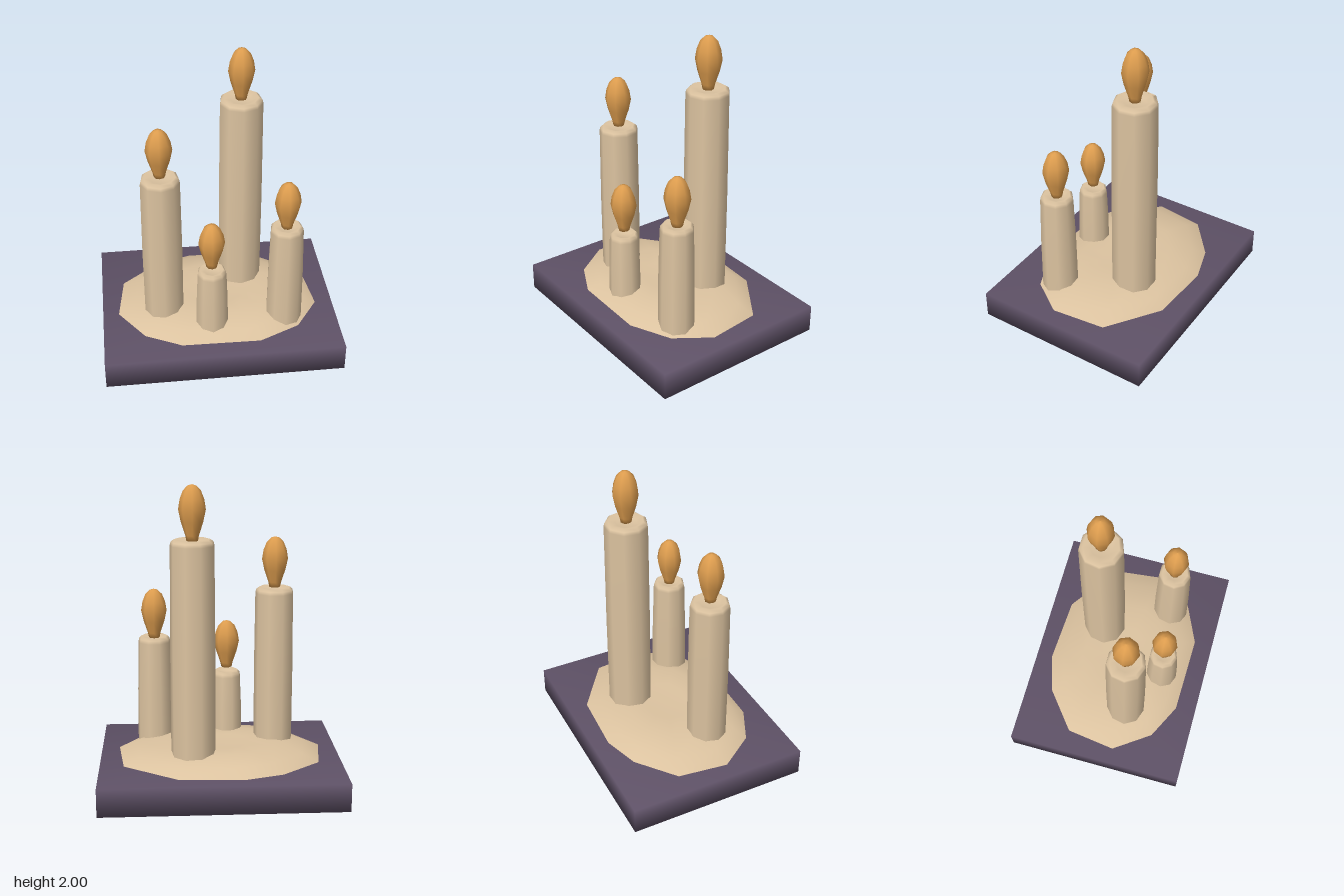
import * as THREE from 'three';
import { mergeVertices } from 'three/addons/utils/BufferGeometryUtils.js';

const wax = new THREE.MeshStandardMaterial({ color: 0xdcc3a0 });
wax.name = 'wax';
const flameOrange = new THREE.MeshStandardMaterial({ color: 0xdc9c4e });
flameOrange.name = 'flameOrange';
const trayPurple = new THREE.MeshStandardMaterial({ color: 0x5e5166 });
trayPurple.name = 'trayPurple';

function addMesh(parent, name, geometry, material) {
  const mesh = new THREE.Mesh(geometry, material);
  mesh.name = name;
  parent.add(mesh);
  return mesh;
}

function lathe(points, sides) {
  return new THREE.LatheGeometry(points.map(([r, y]) => new THREE.Vector2(r, y)), sides);
}

// Slab with soft shading across its edges
function trayGeometry() {
  const box = new THREE.BoxGeometry(1.585, 0.185, 1.22);
  box.translate(0, 0.0925, 0);
  box.deleteAttribute('normal');
  box.deleteAttribute('uv');
  const geometry = mergeVertices(box);
  geometry.computeVertexNormals();
  return geometry;
}

// Spilled wax: one irregular outline repeated in shrinking, rising rings
function poolGeometry() {
  const outline = [
    [-0.145, -0.505], [-0.39, -0.43], [-0.645, -0.225], [-0.69, 0.11], [-0.52, 0.355], [-0.28, 0.475],
    [0.245, 0.485], [0.52, 0.36], [0.68, 0.13], [0.64, -0.235], [0.29, -0.48],
  ];
  const rings = [[1, 0.183], [0.83, 0.235], [0.55, 0.268], [0.28, 0.262]];
  const n = outline.length;
  const positions = [];
  const indices = [];
  rings.forEach(([scale, y]) => outline.forEach(([x, z]) => positions.push(x * scale, y, z * scale)));
  const centre = rings.length * n;
  positions.push(0, 0.258, 0);
  for (let i = 0; i < n; i++) {
    const j = (i + 1) % n;
    for (let k = 0; k < rings.length - 1; k++) {
      const a = k * n + i, b = k * n + j;
      indices.push(a, b, b + n, a, b + n, a + n);
    }
    indices.push((rings.length - 1) * n + i, (rings.length - 1) * n + j, centre);
  }
  const geometry = new THREE.BufferGeometry();
  geometry.setAttribute('position', new THREE.Float32BufferAttribute(positions, 3));
  geometry.setIndex(indices);
  geometry.computeVertexNormals();
  return geometry;
}

// Tapered wax column with a rounded rim and a shallow melted hollow
function candleGeometry(bottom, top, height) {
  return lathe([
    [bottom, 0.185], [(bottom + top) / 2 + 0.003, (height + 0.185) / 2], [top, height - 0.03],
    [top * 0.96, height - 0.008], [top * 0.8, height + 0.008], [top * 0.5, height - 0.008], [0, height - 0.01],
  ], 9);
}

// Teardrop flame, widest just above the middle
function flameGeometry(height) {
  return lathe([
    [0, 0], [0.036, 0], [0.043, 0.1], [0.07, 0.34], [0.086, 0.56],
    [0.076, 0.74], [0.056, 0.89], [0.028, 0.975], [0, 1],
  ].map(([r, t]) => [r, t * height]), 8);
}

export function createModel() {
  const group = new THREE.Group();
  group.name = 'candleTray';
  addMesh(group, 'tray', trayGeometry(), trayPurple);
  addMesh(group, 'waxPool', poolGeometry(), wax);

  const candles = [
    { name: 'tall', x: 0.18, z: -0.185, bottom: 0.147, top: 0.142, height: 1.652, flame: [1.65, 2.0] },
    { name: 'medium', x: -0.373, z: 0.122, bottom: 0.132, top: 0.128, height: 1.285, flame: [1.295, 1.63] },
    { name: 'small', x: 0.43, z: 0.245, bottom: 0.122, top: 0.109, height: 0.932, flame: [0.93, 1.265] },
    { name: 'short', x: -0.065, z: 0.305, bottom: 0.108, top: 0.096, height: 0.668, flame: [0.7, 1.028] },
  ];
  for (const c of candles) {
    const candle = new THREE.Group();
    candle.name = c.name + 'Candle';
    candle.position.set(c.x, 0, c.z);
    addMesh(candle, 'column', candleGeometry(c.bottom, c.top, c.height), wax);
    const flame = addMesh(candle, 'flame', flameGeometry(c.flame[1] - c.flame[0]), flameOrange);
    flame.position.y = c.flame[0];
    group.add(candle);
  }
  return group;
}
